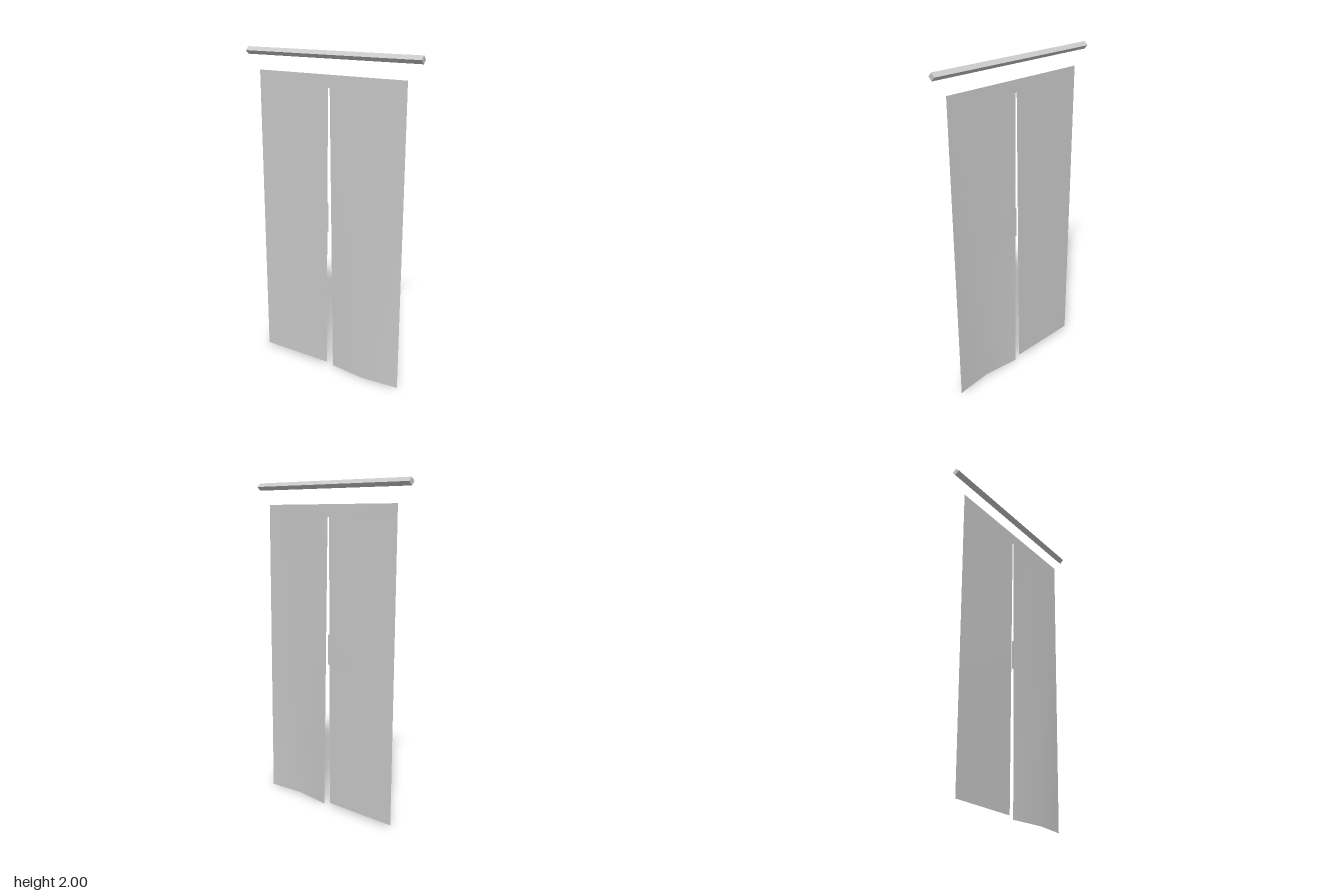
import * as THREE from 'three';

const cloth = new THREE.MeshStandardMaterial({ color: 0xcccccc, side: THREE.DoubleSide });
const wood = new THREE.MeshStandardMaterial({ color: 0xcccccc, flatShading: true });

const TOP = 1.865, SLIT = 1.79;

// Half of the curtain: a sheet hung from the top band, split down the middle
function curtainHalf(name, side, bottom, zFoot) {
  const cols = 2;
  const heights = [TOP, SLIT, SLIT, 1.4, 1.0, 0.5, bottom];
  const pos = [], idx = [];
  heights.forEach((y, r) => {
    const t = (TOP - y) / (TOP - bottom);
    const inner = r < 2 ? 0 : 0.005 + 0.017 * t;
    const outer = 0.515 - 0.013 * t;
    for (let c = 0; c <= cols; c++) {
      const x = inner + (outer - inner) * c / cols;
      pos.push(side * x, y, zFoot[c] * t);
    }
  });
  const w = cols + 1;
  for (let r = 0; r < heights.length - 1; r++) {
    if (r === 1) continue; // the slit begins here
    for (let c = 0; c < cols; c++) {
      const a = r * w + c, b = a + 1, d = a + w, e = d + 1;
      if (side > 0) idx.push(a, d, b, b, d, e);
      else idx.push(a, b, d, b, e, d);
    }
  }
  const geo = new THREE.BufferGeometry();
  geo.setAttribute('position', new THREE.Float32BufferAttribute(pos, 3));
  geo.setIndex(idx);
  geo.computeVertexNormals();
  const mesh = new THREE.Mesh(geo, cloth);
  mesh.name = name;
  return mesh;
}

// Small triangular patch behind the inner edge of a half
function backPatch(name, side, outerY) {
  const s = new THREE.Shape([
    [0.014, 0.91], [0.23, outerY], [0.025, 1.1], [0.013, 1.09],
  ].map(([x, y]) => new THREE.Vector2(side * x, y)));
  const geo = new THREE.ShapeGeometry(s);
  geo.rotateY(Math.PI); // face the back
  geo.scale(-1, 1, 1);
  const mesh = new THREE.Mesh(geo, cloth);
  mesh.position.z = -0.017;
  mesh.name = name;
  return mesh;
}

export function createModel() {
  const group = new THREE.Group();
  group.name = 'splitDoorCurtain';

  // Square rod turned on its edge
  const rod = new THREE.Mesh(new THREE.BoxGeometry(1.21, 0.032, 0.032), wood);
  rod.rotation.x = Math.PI / 4;
  rod.position.y = 1.9775;
  rod.name = 'curtainRod';
  group.add(rod);

  group.add(
    curtainHalf('leftCurtain', 1, 0, [-0.015, 0.01, -0.015]),
    curtainHalf('rightCurtain', -1, 0.015, [-0.008, -0.004, 0]),
    backPatch('leftBackPatch', 1, 0.93),
    backPatch('rightBackPatch', -1, 0.91),
  );
  return group;
}
